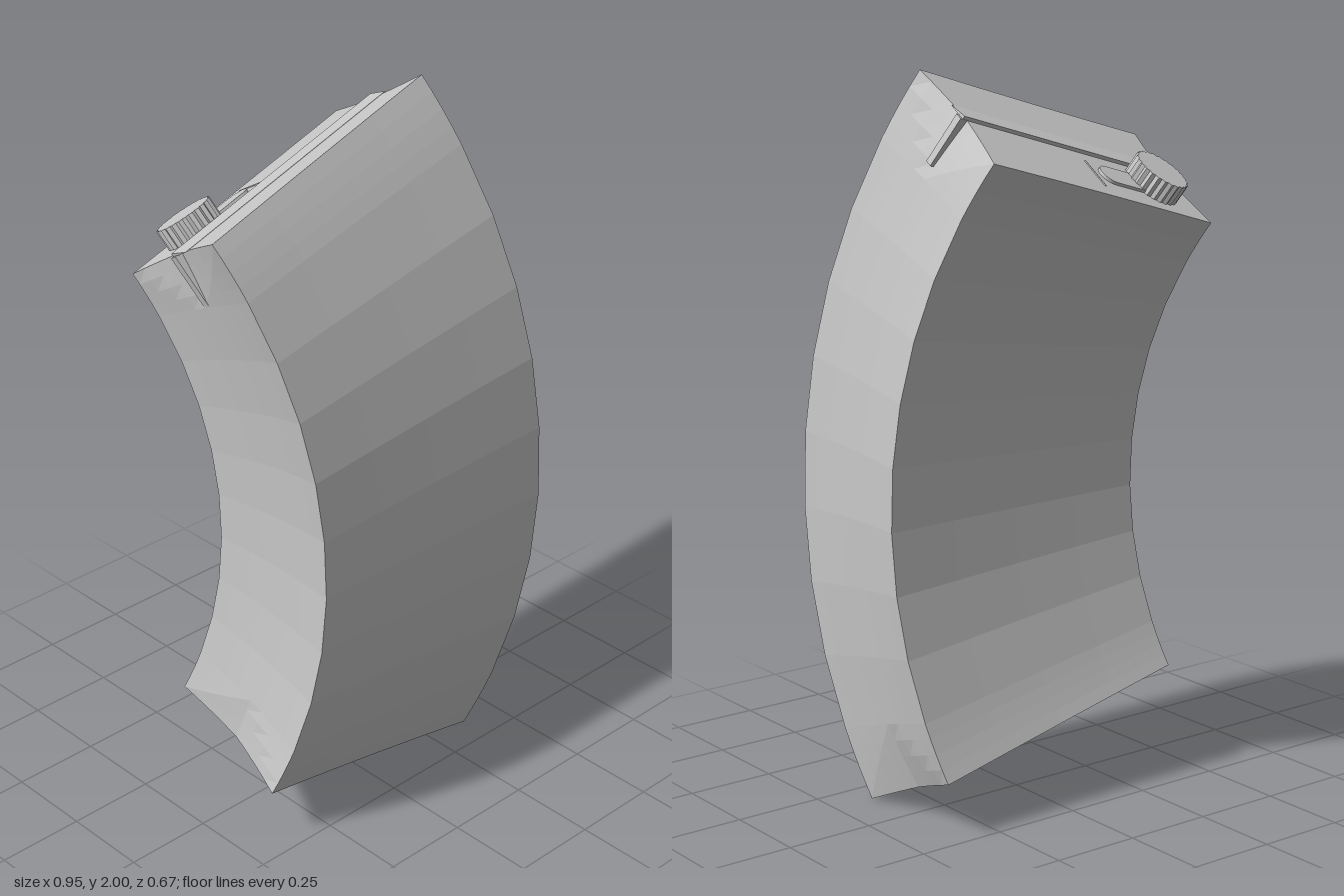
import * as THREE from 'three';

const grey = new THREE.MeshStandardMaterial({ color: 0xc8c8c8 });
grey.name = 'plain grey';

// The bar is a rectangle swept along an arc that bends on a diagonal
const DEG = Math.PI / 180;
const HALF_W = 0.405, HALF_D = 0.205, RADIUS = 1.62;
const TOP = 35 * DEG, BOTTOM = -25.5 * DEG, SEGMENTS = 10;
const bend = new THREE.Vector3(Math.sin(28 * DEG), 0, Math.cos(28 * DEG));
const axis = new THREE.Vector3(-bend.z, 0, bend.x);
const pivot = new THREE.Vector3(0.065, 0.858, 0.127).addScaledVector(bend, -RADIUS);

const turn = (angle) => new THREE.Quaternion().setFromAxisAngle(axis, angle);
const place = (u, w, angle) => new THREE.Vector3(u, 0, w)
  .addScaledVector(bend, RADIUS).applyQuaternion(turn(angle)).add(pivot);

// Outline of one cross-section; the narrow sides sink in, most at the folded ends
function section(angle) {
  const pts = [];
  const end = Math.min(TOP - angle, angle - BOTTOM) * RADIUS / 0.17;
  const inset = (w) => 0.012 * (1 - (w / HALF_D) ** 2)
    + 0.02 * Math.max(0, 1 - end - Math.abs(w) / HALF_D);
  const long = 4, short = 8;
  for (const s of [1, -1]) {
    for (let i = 0; i < long; i++) {
      const k = -1 + 2 * i / long;
      pts.push([s * k * HALF_W, s * (HALF_D - 0.004 * (1 - k * k))]);
    }
    for (let i = 0; i < short; i++) {
      const w = HALF_D * (1 - 2 * i / short);
      pts.push([s * (HALF_W - inset(w)), s * w]);
    }
  }
  return pts.map(([u, w]) => place(u, w, angle));
}

function bodyGeometry() {
  const angles = [];
  for (let i = 0; i < SEGMENTS; i++) {
    const parts = i === 0 || i === SEGMENTS - 1 ? 4 : 1;
    for (let j = 0; j < parts; j++) {
      angles.push(BOTTOM + (TOP - BOTTOM) * (i + j / parts) / SEGMENTS);
    }
  }
  angles.push(TOP);
  const rings = angles.map(section);
  const n = rings[0].length, last = rings.length - 1;
  const v = [];
  const tri = (...corners) => corners.forEach((p) => v.push(p.x, p.y, p.z));
  const low = place(0, 0, BOTTOM), high = place(0, 0, TOP);
  for (let i = 0; i < n; i++) {
    const k = (i + 1) % n;
    for (let r = 0; r < last; r++) {
      const a = rings[r], b = rings[r + 1];
      tri(a[i], a[k], b[k]);
      tri(a[i], b[k], b[i]);
    }
    tri(low, rings[0][k], rings[0][i]);
    tri(high, rings[last][i], rings[last][k]);
  }
  const g = new THREE.BufferGeometry();
  g.setAttribute('position', new THREE.Float32BufferAttribute(v, 3));
  g.computeVertexNormals();
  return g;
}

function add(parent, name, geometry, x = 0, y = 0, z = 0) {
  const mesh = new THREE.Mesh(geometry, grey);
  mesh.name = name;
  mesh.position.set(x, y, z);
  parent.add(mesh);
  return mesh;
}

// Extrude a shape drawn on the lid plane straight up from it
function raised(shape, height) {
  return new THREE.ExtrudeGeometry(shape, { depth: height, bevelEnabled: false, curveSegments: 10 })
    .rotateX(-Math.PI / 2);
}

export function createModel() {
  const model = new THREE.Group();
  model.name = 'curvedContainer';
  add(model, 'curvedBody', bodyGeometry());

  // Everything on the lid shares its tilted plane
  const lid = new THREE.Group();
  lid.name = 'lidDetails';
  lid.position.copy(place(0, 0, TOP));
  lid.quaternion.copy(turn(TOP));
  model.add(lid);

  // Overlapping flap: a thin wedge with its step along the middle
  const wedge = new THREE.Shape([[0.01, 0], [0.01, 0.01], [-0.052, 0.001], [-0.052, 0]]
    .map(([x, y]) => new THREE.Vector2(x, y)));
  const flap = new THREE.ExtrudeGeometry(wedge, { depth: HALF_W * 2 - 0.03, bevelEnabled: false });
  add(lid, 'lidFlap', flap, -HALF_W + 0.015, 0, 0).rotation.y = Math.PI / 2;

  // Folded tabs hanging down both ends
  for (const s of [1, -1]) {
    add(lid, 'foldedTab', new THREE.BoxGeometry(0.025, 0.15, 0.022), s * (HALF_W - 0.02), -0.074, 0.0);
  }

  // Rounded slot plate beside the knob
  const slot = new THREE.Shape();
  slot.moveTo(-0.25, -0.037);
  slot.lineTo(-0.085, -0.037);
  slot.absarc(-0.085, 0, 0.037, -Math.PI / 2, Math.PI / 2, false);
  slot.lineTo(-0.25, 0.037);
  add(lid, 'slotPlate', raised(slot, 0.008), 0, 0, -0.1);
  add(lid, 'crease', new THREE.BoxGeometry(0.003, 0.004, 0.11), -0.025, 0.001, -0.105);

  // Ribbed knob
  const rim = [];
  const ribs = 24;
  for (let i = 0; i < ribs * 2; i++) {
    const a = i * Math.PI / ribs, r = i % 2 ? 0.075 : 0.081;
    rim.push(new THREE.Vector2(Math.cos(a) * r, Math.sin(a) * r));
  }
  add(lid, 'ribbedKnob', raised(new THREE.Shape(rim), 0.058), -0.25, 0, -0.09);

  return model;
}
